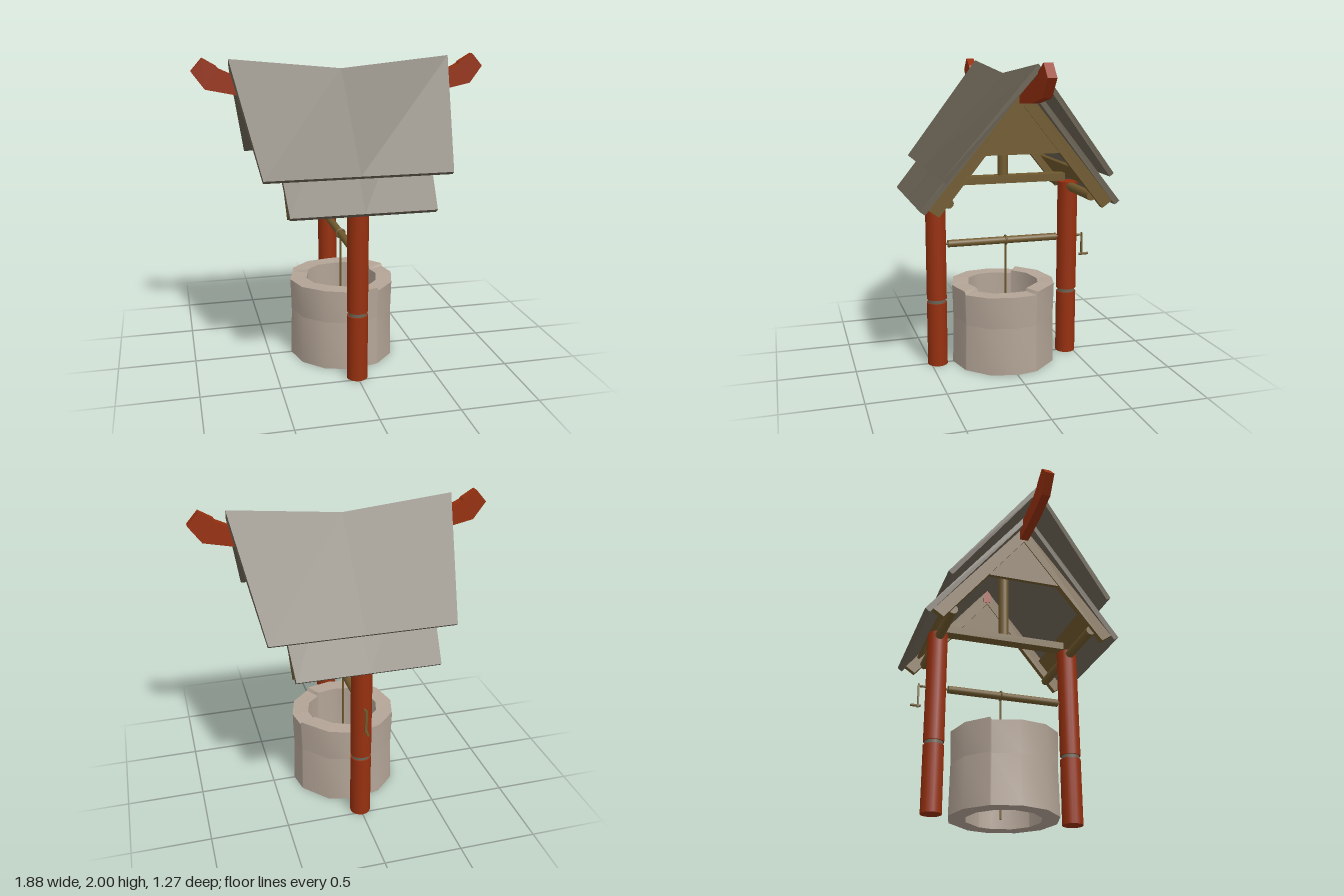
import * as THREE from 'three';

const mat = (name, color, side = THREE.FrontSide) => {
  const m = new THREE.MeshStandardMaterial({ color, side });
  m.name = name;
  return m;
};

export function createModel() {
  const red = mat('red painted wood', 0x96300f);
  const tan = mat('bare timber', 0x70592d);
  const slate = mat('roof grey', 0x6c6556);
  const stone = mat('pale stone', 0xb3a496);
  const root = new THREE.Group();
  root.name = 'well';

  const add = (name, geo, material, x = 0, y = 0, z = 0) => {
    const mesh = new THREE.Mesh(geo, material);
    mesh.name = name;
    mesh.position.set(x, y, z);
    root.add(mesh);
    return mesh;
  };
  const rod = (r, len, axis = 'y', sides = 12) => {
    const g = new THREE.CylinderGeometry(r, r, len, sides);
    if (axis === 'x') g.rotateZ(Math.PI / 2);
    if (axis === 'z') g.rotateX(Math.PI / 2);
    return g;
  };

  // Stone ring: [angle in degrees from +z toward +x, rim height], with steps where stones meet
  const rim = [[0, .535], [29, .537], [31, .515], [60, .52], [90, .525], [112, .522], [114, .542], [150, .545],
    [180, .535], [210, .54], [239, .543], [241, .522], [270, .528], [300, .535], [330, .542]];
  const strip = (a, b, flat) => {
    const pos = [], idx = [], n = rim.length;
    rim.forEach(([deg, top], i) => {
      const t = deg * Math.PI / 180;
      for (const [r, h] of [a, b]) pos.push(r * Math.sin(t), h * top, r * Math.cos(t));
      const p = i * 2, q = ((i + 1) % n) * 2;
      idx.push(p, q, p + 1, q, q + 1, p + 1);
    });
    let g = new THREE.BufferGeometry();
    g.setAttribute('position', new THREE.Float32BufferAttribute(pos, 3));
    g.setIndex(idx);
    if (flat) g = g.toNonIndexed();
    g.computeVertexNormals();
    return g;
  };
  const R = .35, r = .24;
  add('wellOuterWallLower', strip([R, 0], [R - .006, .6]), stone);
  add('wellOuterWallUpper', strip([R - .006, .6], [R, 1]), stone);
  add('wellRim', strip([R, 1], [r, 1], true), stone);
  add('wellInnerWall', strip([r, 1], [r, 0]), stone);
  add('wellBase', strip([r, 0], [R, 0], true), stone);

  // Posts with a grey collar, eave beams and sloping planks under the roof
  for (const s of [1, -1]) {
    const z = s * .455;
    add('postLower', rod(.067, .43, 'y', 16), red, 0, .215, z);
    add('postCollar', rod(.058, .03, 'y', 16), slate, 0, .4425, z);
    add('postUpper', rod(.067, .745, 'y', 16), red, 0, .8275, z);
    add('eaveBeam', rod(.03, .84, 'x'), tan, 0, 1.17, z);
    add('eavePlank', new THREE.BoxGeometry(.82, .02, .15), tan, 0, 1.27, z).rotation.x = s * .89;
  }

  // Tie beam and king post
  add('tieBeam', new THREE.BoxGeometry(.08, .05, .84), tan, 0, 1.235, 0);
  add('kingPost', rod(.035, .58), tan, 0, 1.53, 0);

  // Extrusion of a (z, y) outline along x, centred on x
  const slab = (pts, depth) => {
    const g = new THREE.ExtrudeGeometry(new THREE.Shape(pts.map(p => new THREE.Vector2(...p))),
      { depth, bevelEnabled: false });
    return g.translate(0, 0, -depth / 2);
  };

  // Rafter pairs, gable boards and the upturned ridge ends
  const rafters = [[0, 1.855], [-.585, 1.14], [-.52, 1.095], [0, 1.74], [.52, 1.095], [.585, 1.14]];
  const gable = [[0, 1.76], [-.235, 1.45], [.235, 1.45]];
  const horn = [[.4, 1.75], [.67, 1.77], [.86, 1.81], [.94, 1.92], [.87, 2], [.785, 1.95], [.775, 1.935],
    [.7, 1.9], [.4, 1.85]];
  for (const s of [1, -1]) {
    add('rafters', slab(rafters, .04).rotateY(Math.PI / 2), tan, s * .425);
    add('gableBoard', slab(gable, .025).rotateY(Math.PI / 2), tan, s * .425);
    add('ridgeHorn', slab(horn, .055).rotateY(s > 0 ? 0 : Math.PI), red);
  }

  // Roof slope with a sagging ridge: a box whose corners are moved to ridge and eave
  const roofSlope = ({ ridgeX, ridgeEnd, ridgeMid, eaveX, eaveY, eaveZ, inset }) => {
    const g = new THREE.BoxGeometry(1, 1, 1, 2, 1, 1).toNonIndexed();
    const p = g.attributes.position;
    for (let i = 0; i < p.count; i++) {
      const u = p.getX(i) * 2, inner = p.getZ(i) < 0;
      if (p.getY(i) > 0) {
        const y = ridgeMid + (ridgeEnd - ridgeMid) * Math.abs(u);
        p.setXYZ(i, u * ridgeX, inner ? y - .05 : y, 0);
      } else {
        p.setXYZ(i, u * eaveX, inner ? eaveY - inset * .75 : eaveY, inner ? eaveZ - inset : eaveZ);
      }
    }
    g.computeVertexNormals();
    return g;
  };
  const layers = {
    upperRoof: { ridgeX: .71, ridgeEnd: 1.99, ridgeMid: 1.92, eaveX: .58, eaveY: 1.335, eaveZ: .53, inset: .026 },
    lowerRoof: { ridgeX: .51, ridgeEnd: 1.91, ridgeMid: 1.86, eaveX: .445, eaveY: 1.135, eaveZ: .635, inset: .03 },
  };
  for (const [name, spec] of Object.entries(layers)) {
    add(name + 'Front', roofSlope(spec), slate);
    add(name + 'Back', roofSlope(spec).rotateY(Math.PI), slate);
  }

  // Winch drum, axle, crank and rope
  add('winchDrum', rod(.025, .75, 'z'), tan, 0, .82, 0);
  add('winchAxle', rod(.008, .97, 'z', 8), tan, 0, .82, -.085);
  add('crankArm', new THREE.BoxGeometry(.016, .16, .01), tan, 0, .755, -.565);
  add('crankHandle', rod(.009, .065, 'z', 8), tan, 0, .685, -.58);
  add('ropeLoop', new THREE.TorusGeometry(.029, .007, 6, 16), tan, 0, .82, -.02);
  add('rope', rod(.007, .82, 'y', 8), tan, 0, .41, -.02);

  return root;
}
